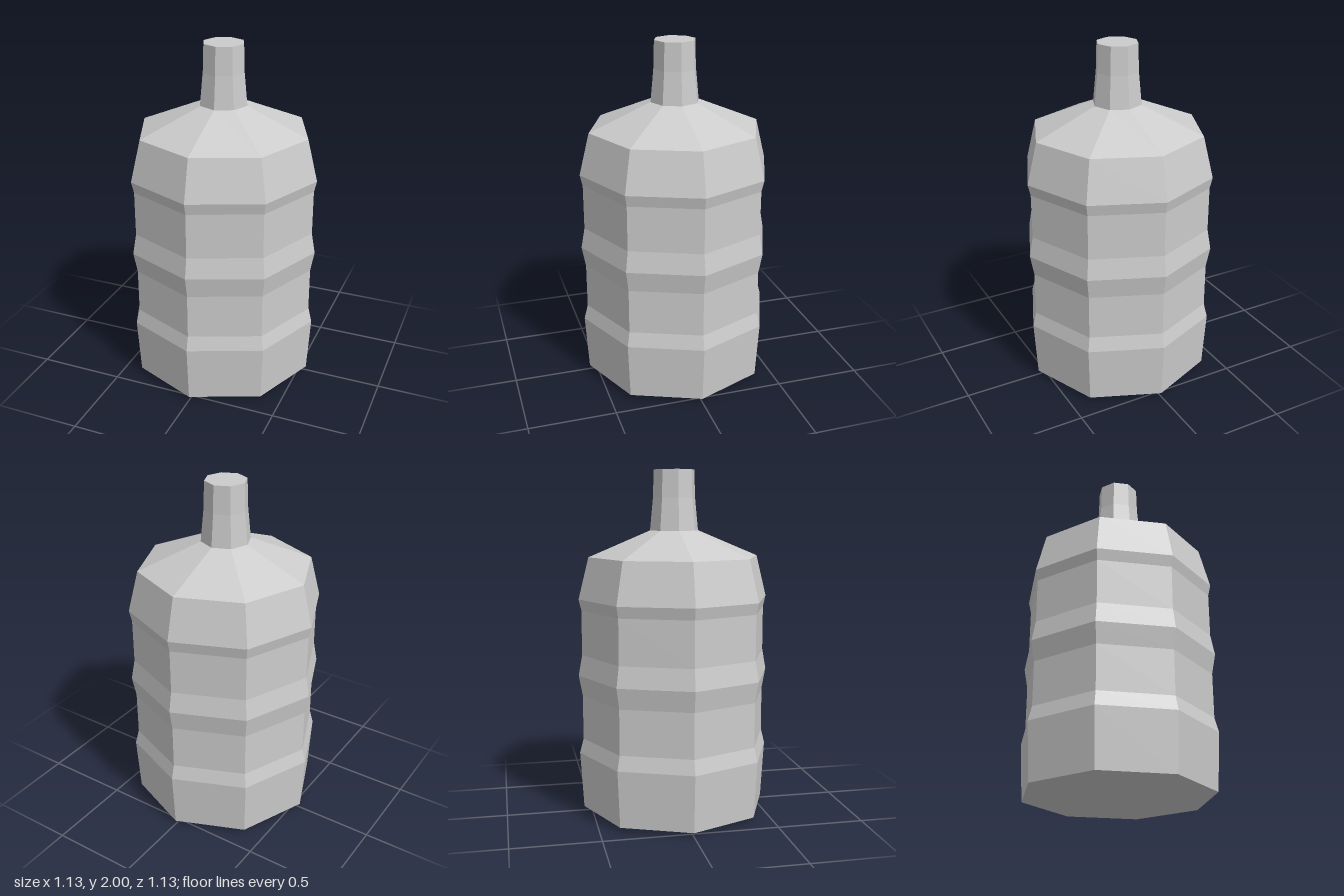
import * as THREE from 'three';

const SIDES = 8;

export function createModel() {
  const group = new THREE.Group();
  group.name = 'bottle';
  const material = new THREE.MeshStandardMaterial({ color: 0xcccccc, flatShading: true });

  // Turn a [radius, height] profile, bottom to top, into an eight-sided solid
  const addTurned = (name, profile) => {
    const points = profile.map(([r, y]) => new THREE.Vector2(r, y));
    const mesh = new THREE.Mesh(new THREE.LatheGeometry(points, SIDES), material);
    mesh.name = name;
    group.add(mesh);
    return mesh;
  };

  // Slightly domed base, three ridges around the body, sloping shoulder
  addTurned('body', [
    [0, 0], [0.547, 0.024],
    [0.567, 0.355], [0.545, 0.44],
    [0.545, 0.7], [0.567, 0.82], [0.545, 0.94],
    [0.545, 1.2], [0.56, 1.265],
    [0.5, 1.505], [0.142, 1.655],
  ]);

  // Tapering neck with a closed top
  addTurned('neck', [[0.142, 1.655], [0.124, 1.84], [0.119, 2], [0, 2]]);

  return group;
}
